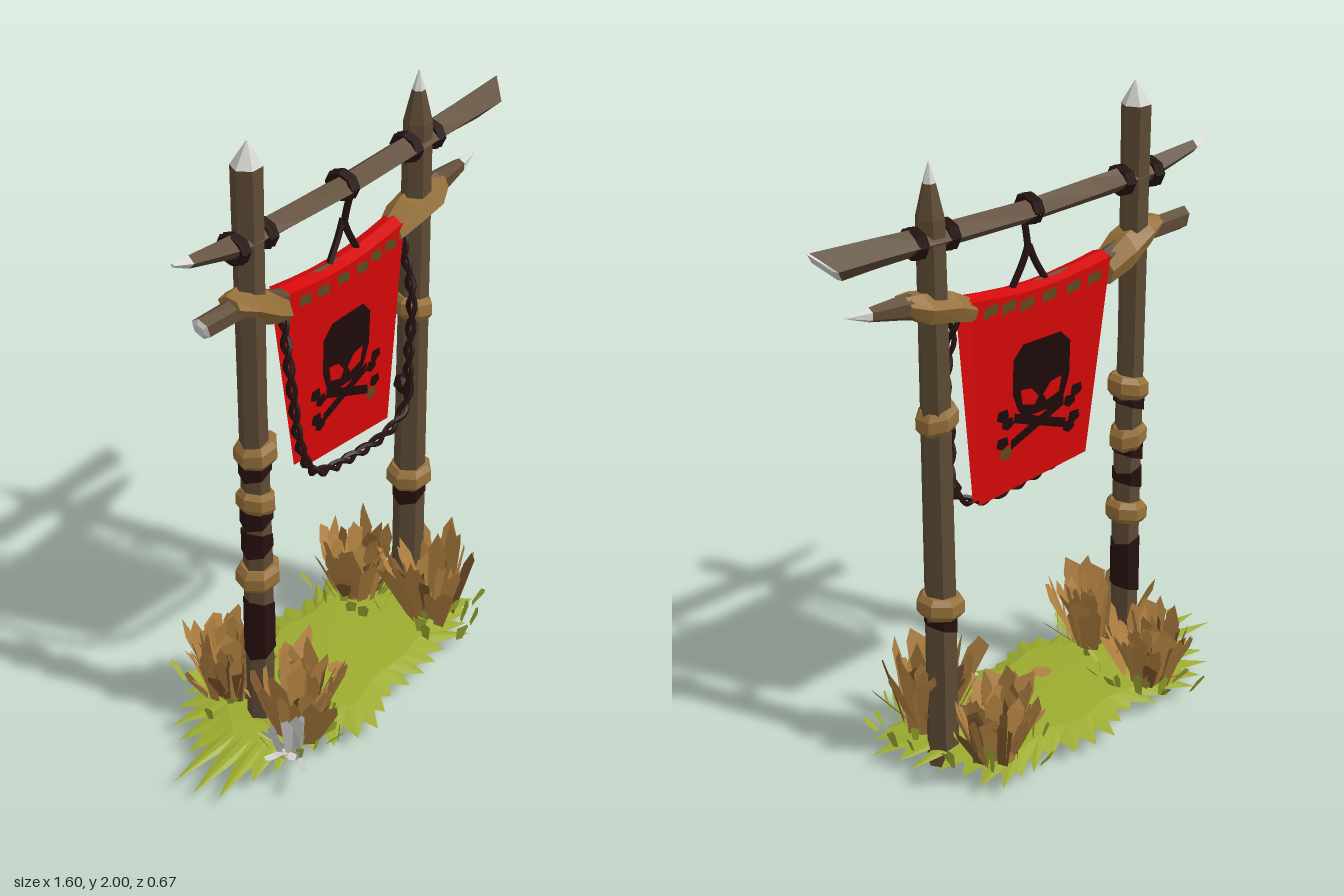
import * as THREE from 'three';

const V = (x, y, z = 0) => new THREE.Vector3(x, y, z);
const lerp = THREE.MathUtils.lerp;
let seed = 7;
const rnd = (a = 0, b = 1) => {
  seed = (seed * 16807) % 2147483647;
  return a + (b - a) * (seed / 2147483647);
};

const mat = (name, color, side = THREE.FrontSide) => {
  const m = new THREE.MeshStandardMaterial({ color, flatShading: true, side });
  m.name = name;
  return m;
};

function fromTriangles(pts) {
  const g = new THREE.BufferGeometry().setFromPoints(pts);
  g.computeVertexNormals();
  return g;
}

// Faceted bar along x or y; rows: [along, centreA, centreB, radiusA, radiusB, slant]
function loft(axis, rows, sides = 6, turn = 0) {
  const place = (t, a, b) => (axis === 'y' ? V(a, t, b) : V(t, a, -b));
  const rings = rows.map(([t, a, b, ra, rb = ra, slant = 0]) =>
    Array.from({ length: sides }, (_, i) => {
      const k = turn + (i / sides) * Math.PI * 2;
      const da = ra * Math.cos(k);
      return place(t + slant * da, a + da, b + rb * Math.sin(k));
    }));
  const ends = [rows[0], rows[rows.length - 1]].map((r) => place(r[0], r[1], r[2]));
  const pts = [];
  const last = rings[rings.length - 1];
  for (let i = 0; i < sides; i++) {
    const j = (i + 1) % sides;
    for (let k = 0; k + 1 < rings.length; k++) {
      const [p, q] = [rings[k], rings[k + 1]];
      pts.push(p[i], q[i], p[j], q[i], q[j], p[j]);
    }
    pts.push(ends[0], rings[0][i], rings[0][j], ends[1], last[j], last[i]);
  }
  return fromTriangles(pts);
}

export function createModel() {
  const root = new THREE.Group();
  const D = THREE.DoubleSide;
  const wood = mat('wood', 0x5d4a34);
  const rope = mat('dark rope', 0x25110f);
  const pale = mat('pale cut wood', 0xd4d4d0, D);
  const wrap = mat('tan binding', 0x96703a);
  const red = mat('red cloth', 0xd50808, D);
  const black = mat('black paint', 0x1e0a0a, D);
  const straw = mat('straw', 0xb08040, D);
  const brown = mat('dry brown grass', 0x7c562b, D);
  const green = mat('green grass', 0x9cab30, D);
  const olive = mat('olive stain', 0x5e4c20, D);
  const add = (name, geo, m) => {
    const mesh = new THREE.Mesh(geo, m);
    mesh.name = name;
    root.add(mesh);
  };

  // Posts with sharpened tips
  add('rightHandPost', loft('y', [[0.03, -0.432, 0, 0.042], [0.6, -0.43, 0, 0.045], [1.2, -0.44, 0, 0.042], [1.93, -0.443, 0, 0.046]]), wood);
  add('rightHandPostTip', loft('y', [[1.93, -0.443, 0, 0.046], [2, -0.438, 0, 0.003]]), pale);
  add('leftHandPost', loft('y', [[0, 0.345, 0, 0.052], [0.6, 0.345, 0, 0.05], [1.3, 0.35, 0, 0.047], [1.77, 0.355, 0, 0.044], [1.87, 0.356, 0, 0.02]]), wood);
  add('leftHandPostTip', loft('y', [[1.87, 0.356, 0, 0.02], [1.93, 0.357, 0, 0.002]]), pale);

  // Top beam, diamond in section, with a slanting cut at one end
  add('topBeam', loft('x', [[-0.69, 1.745, 0, 0.02], [-0.5, 1.713, 0, 0.038], [-0.25, 1.707, 0, 0.037, 0.048], [0, 1.7, 0, 0.035, 0.05],
    [0.35, 1.707, 0, 0.038, 0.05], [0.55, 1.713, 0, 0.045, 0.05], [0.72, 1.717, 0, 0.053, 0.055, 1]], 4), wood);
  add('topBeamPoint', loft('x', [[-0.755, 1.762, 0, 0.006], [-0.69, 1.745, 0, 0.02]], 4), pale);
  add('topBeamCut', loft('x', [[0.72, 1.717, 0, 0.053, 0.055, 1], [0.732, 1.72, 0, 0.048, 0.045, 1]], 4), pale);

  // Lower beam
  add('lowerBeam', loft('x', [[-0.65, 1.525, 0, 0.036, 0.032, -0.3], [-0.45, 1.52, 0, 0.036], [-0.3, 1.465, 0, 0.032], [0, 1.455, 0, 0.026],
    [0.25, 1.465, 0, 0.032], [0.45, 1.53, 0, 0.04], [0.58, 1.542, 0, 0.022]]), wood);
  add('lowerBeamPoint', loft('x', [[0.58, 1.542, 0, 0.022], [0.66, 1.553, 0, 0.002]]), pale);
  add('lowerBeamCut', loft('x', [[-0.66, 1.525, 0, 0.02, 0.018, -0.3], [-0.65, 1.525, 0, 0.036, 0.032, -0.3]]), pale);

  // Tan bindings where the lower beam crosses the posts
  add('rightHandBeamBinding', loft('x', [[-0.53, 1.545, 0, 0.024, 0.04], [-0.47, 1.528, 0, 0.046, 0.064], [-0.39, 1.485, 0, 0.06, 0.07], [-0.31, 1.44, 0, 0.046, 0.052]], 6, 0.3), wrap);
  add('leftHandBeamBinding', loft('x', [[0.22, 1.46, 0, 0.04, 0.045], [0.29, 1.49, 0, 0.05, 0.064], [0.4, 1.513, 0, 0.05, 0.07], [0.46, 1.535, 0, 0.03, 0.045]], 6, 0.3), wrap);

  // Tan bindings round the posts
  [[-0.428, 1.03, 0.066, 0.2], [-0.433, 0.86, 0.06, -0.2], [-0.43, 0.6, 0.068, 0.15], [0.345, 1.16, 0.064, -0.2], [0.345, 0.55, 0.074, 0.1]].forEach(([x, y, r, s]) =>
    add('postBinding', loft('y', [[y - 0.036, x, 0, r * 0.8, r * 0.8, s], [y - 0.018, x, 0, r, r, s], [y + 0.018, x, 0, r * 1.02, r * 0.98, s], [y + 0.036, x, 0, r * 0.78, r * 0.78, s]], 7, 0.4), wrap));

  // Dark cord round the posts
  [[-0.43, 0.32, 0.5, 0.048], [-0.433, 0.69, 0.75, 0.048], [-0.433, 0.79, 0.83, 0.05], [-0.435, 0.96, 1.0, 0.05], [0.345, 0.47, 0.52, 0.053]].forEach(([x, y0, y1, r]) =>
    add('postCord', loft('y', [[y0, x, 0, r, r, 0.4], [y1, x, 0, r, r, -0.3]]), rope));
  add('ropeKnot', new THREE.IcosahedronGeometry(0.035, 0).translate(0.29, 0.91, 0.01), rope);

  // Rope rings on the top beam
  [-0.505, -0.385, -0.015, 0.3, 0.415].forEach((x) => {
    for (const d of [-0.008, 0.008]) {
      const ring = new THREE.TorusGeometry(0.038, 0.011, 5, 8).rotateY(Math.PI / 2);
      add('beamRopeRing', ring.scale(1, 1, 1.15).translate(x + d, 1.707, 0), rope);
    }
  });

  // Forked hanging cord
  const cord = (...p) => new THREE.TubeGeometry(new THREE.CatmullRomCurve3(p), 8, 0.011, 5);
  add('hangingCord', cord(V(-0.012, 1.7, 0.03), V(-0.014, 1.64, 0.015), V(-0.012, 1.57)), rope);
  for (const s of [-1, 1]) add('hangingCordFork', cord(V(-0.012, 1.6), V(-0.012 + s * 0.025, 1.545), V(-0.012 + s * 0.065, 1.48, 0)), rope);

  // Cloth folded over the lower beam
  const clothZ = (y) => 0.014 + 0.022 * THREE.MathUtils.clamp((y - 0.85) / 0.64, 0, 1);
  const cloth = new THREE.PlaneGeometry(1, 1, 6, 10);
  const cp = cloth.attributes.position;
  for (let i = 0; i < cp.count; i++) {
    const u = cp.getX(i) + 0.5, w = cp.getY(i) * 2;
    const f = Math.min(1, (1 - Math.abs(w)) * 1.25);
    const y = lerp(lerp(0.87, 0.83, u), 1.495 - 0.025 * Math.sin(u * Math.PI), f);
    const z = Math.abs(w) < 0.1 ? 0 : -Math.sign(w) * clothZ(y);
    cp.setXYZ(i, lerp(lerp(-0.235, -0.31, f), lerp(0.2, 0.24, f), u), y + (z === 0 ? 0.012 : 0), z);
  }
  cloth.computeVertexNormals();
  add('banner', cloth, red);

  // Painted emblem and stains on both faces of the cloth
  const poly = (p, C = THREE.Shape) => new C(p.map(([x, y]) => new THREE.Vector2(x, y)));
  const skull = poly([[-0.15, 1.16], [-0.15, 1.27], [-0.11, 1.31], [0.04, 1.31], [0.078, 1.27], [0.078, 1.16], [0.055, 1.1], [0.03, 1.07], [-0.1, 1.07], [-0.13, 1.1]]);
  skull.holes.push(
    poly([[-0.118, 1.165], [-0.075, 1.158], [-0.045, 1.125], [-0.06, 1.1], [-0.11, 1.115]], THREE.Path),
    poly([[0.046, 1.165], [0.038, 1.115], [-0.012, 1.1], [-0.027, 1.125], [0.003, 1.158]], THREE.Path));
  const bone = (x0, y0, x1, y1) => poly([[x0, y0 - 0.016], [x1, y1 - 0.016], [x1, y1 + 0.016], [x0, y0 + 0.016]]);
  const dot = (x, y) => poly([[x - 0.024, y - 0.008], [x, y - 0.022], [x + 0.024, y - 0.008], [x + 0.018, y + 0.018], [x - 0.018, y + 0.018]]);
  const ink = [skull, bone(-0.14, 1.0, 0.07, 1.08), bone(-0.13, 1.08, 0.08, 0.995),
    ...[[-0.182, 1.1], [-0.155, 1.07], [0.115, 1.1], [0.095, 1.07], [-0.175, 1.012], [-0.155, 0.985], [0.115, 1.01]].map((p) => dot(...p))];
  const patches = [[-0.24, 1.452], [-0.155, 1.445], [-0.06, 1.445], [0.03, 1.44], [0.1, 1.45], [0.17, 1.455]].map(([x, y]) => bone(x - 0.028, y, x + 0.026, y - 0.008));
  const paint = (name, shapes, m) => {
    for (const s of [1, -1]) {
      const g = new THREE.ShapeGeometry(shapes);
      const p = g.attributes.position;
      for (let i = 0; i < p.count; i++) p.setZ(i, s * (clothZ(p.getY(i)) + 0.005));
      add(name, g, m);
    }
  };
  paint('skullEmblem', ink, black);
  paint('clothStain', [...patches, dot(0.1, 0.972)], olive);

  // Twisted rope looping round the cloth
  const loop = new THREE.CatmullRomCurve3([V(-0.32, 1.43, 0.02), V(-0.325, 1.2, 0.05), V(-0.29, 0.98, 0.055), V(-0.22, 0.865, 0.05), V(-0.02, 0.815, 0.045),
    V(0.17, 0.815, 0.045), V(0.245, 0.87, 0.05), V(0.25, 1.05, 0.055), V(0.265, 1.25, 0.05), V(0.255, 1.44, 0.02)]);
  for (const phase of [0, Math.PI]) {
    const strand = Array.from({ length: 121 }, (_, i) => {
      const t = loop.getTangentAt(i / 120), a = i * 0.6 + phase;
      return loop.getPointAt(i / 120).add(V(-t.y, t.x).multiplyScalar(0.01 * Math.cos(a))).add(V(0, 0, 0.01 * Math.sin(a)));
    });
    add('twistedRope', new THREE.TubeGeometry(new THREE.CatmullRomCurve3(strand), 240, 0.0085, 5), rope);
  }

  // Ragged turf: flat middle with pointed fringe
  const outline = new THREE.CatmullRomCurve3([[-0.74, 0.01], [-0.62, -0.13], [-0.46, -0.25], [-0.2, -0.24], [-0.04, -0.29], [0.12, -0.25], [0.37, -0.27], [0.4, -0.08],
    [0.49, 0.05], [0.47, 0.17], [0.3, 0.23], [0.1, 0.26], [-0.1, 0.25], [-0.27, 0.29], [-0.4, 0.22], [-0.6, 0.18], [-0.72, 0.1]].map(([x, z]) => V(x, 0, z)), true);
  const n = 84, hub = V(-0.1, 0.085, 0), turf = [];
  const scaled = (p, k, y) => V(lerp(hub.x, p.x, k), y, p.z * k);
  const edge = outline.getSpacedPoints(n).slice(0, n);
  const rim = edge.map((p, i) => scaled(p, i % 2 ? rnd(0.98, 1.16) : rnd(0.86, 0.94), i % 2 ? 0.045 : 0.056));
  const inner = edge.map((p) => scaled(p, 0.72, 0.075));
  for (let i = 0; i < n; i++) {
    const j = (i + 1) % n;
    turf.push(hub, inner[j], inner[i], inner[i], rim[j], rim[i], inner[i], inner[j], rim[j]);
  }
  add('turf', fromTriangles(turf), green);

  // Tufts of broad blades with blunt, ragged ends
  const tuft = (name, m, [x, z], count, len, spread, width, foot = 0.08, arc = [0, Math.PI * 2]) => {
    const pts = [];
    for (let i = 0; i < count; i++) {
      const a = rnd(...arc), lean = rnd(0.05, spread), w = width * rnd(0.6, 1.3), l = len * rnd(0.65, 1), twist = a + rnd(-0.6, 0.6);
      const out = V(Math.cos(a), 0, Math.sin(a)), side = V(-Math.sin(twist), 0, Math.cos(twist)).multiplyScalar(w);
      const base = V(x, 0.055, z).addScaledVector(out, rnd(0.01, foot));
      const at = (f, s) => base.clone().addScaledVector(out, l * f * Math.sin(lean)).add(V(0, l * f * Math.cos(lean))).addScaledVector(side, s);
      const [bl, br, ml, mr] = [at(0, -0.35), at(0, 0.35), at(rnd(0.75, 0.9), -0.6), at(rnd(0.75, 0.95), 0.6)];
      const tip = at(1, rnd(-0.5, 0.5));
      pts.push(bl, ml, br, br, ml, mr, ml, tip, mr);
    }
    add(name, fromTriangles(pts), m);
  };
  const clumps = [[-0.42, 0.13, 0.29, 40, 0.2], [0.31, 0.12, 0.31, 34, 0.25], [-0.39, -0.15, 0.26, 38, 0.6], [0.26, -0.15, 0.26, 38, 0.6]];
  clumps.forEach(([x, z, len, count, dry]) => {
    tuft('strawTuft', straw, [x, z], count, len, 0.5, 0.048);
    tuft('dryTuft', brown, [x, z], Math.round(count * dry), len * 0.85, 0.6, 0.036);
    tuft('strawFringe', straw, [x, z], 10, len * 0.75, 0.95, 0.016, 0.06);
    tuft('greenTuft', green, [x, z], 26, 0.09, 0.8, 0.026, 0.16);
  });
  tuft('paleBlades', pale, [-0.47, 0.17], 14, 0.2, 1.25, 0.026, 0.1, [2.1, 3.5]);
  add('bareEarth', new THREE.CircleGeometry(0.035, 7).rotateX(-Math.PI / 2).translate(-0.13, 0.088, 0.07), straw);
  return root;
}
